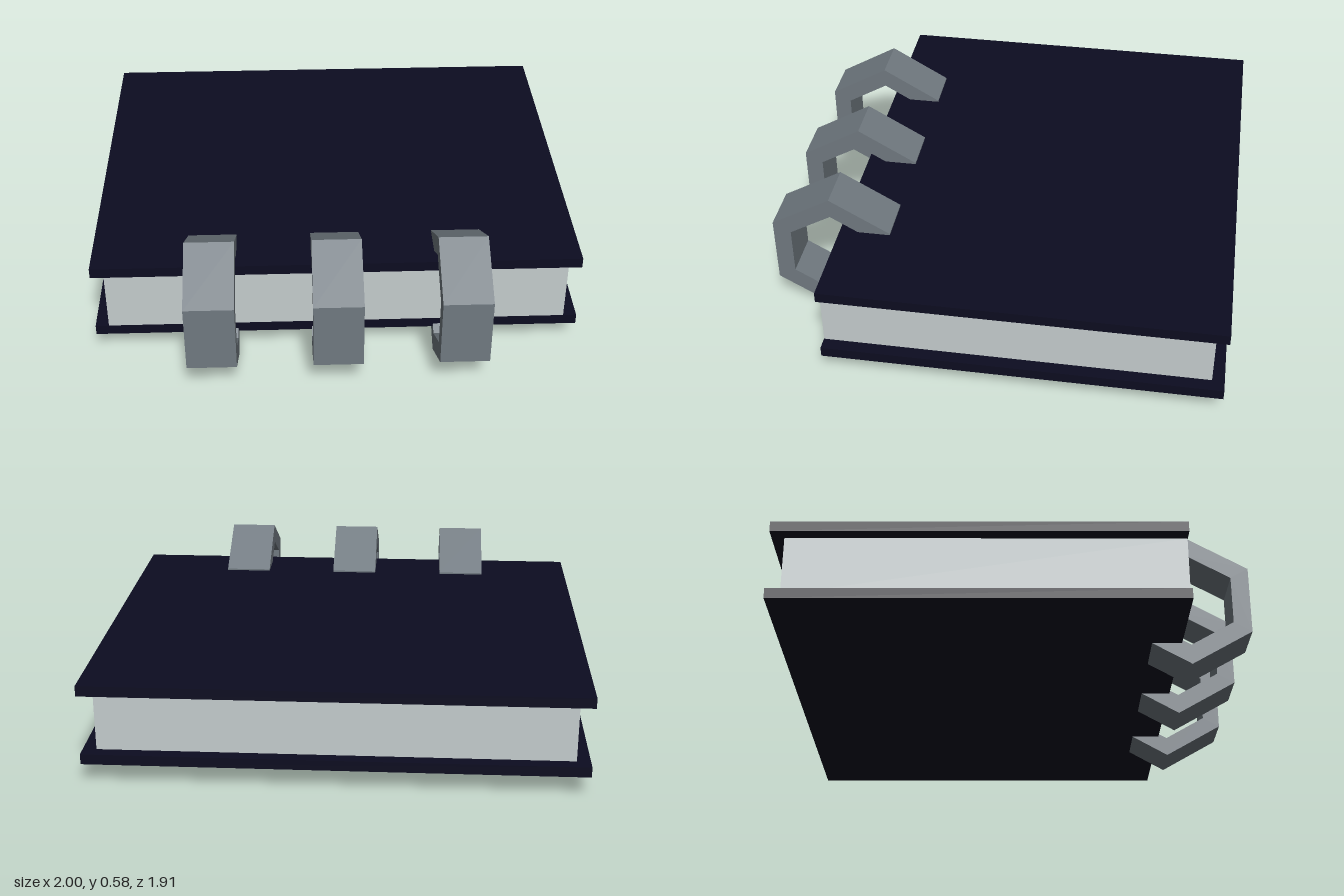
import * as THREE from 'three';

const material = (name, color) => {
  const m = new THREE.MeshStandardMaterial({ color });
  m.name = name;
  return m;
};

// Points of an upright hexagon with a vertex at the top
const hexagon = (radius) =>
  Array.from({ length: 6 }, (_, i) => {
    const a = Math.PI / 2 + (i * Math.PI) / 3;
    return new THREE.Vector2(Math.cos(a) * radius, Math.sin(a) * radius);
  });

export function createModel() {
  const group = new THREE.Group();
  group.name = 'ringBoundBook';

  const coverMat = material('dark navy cover', 0x0c0c20);
  const pageMat = material('pale grey paper', 0xc4cccd);
  const ringMat = material('grey metal', 0x707980);

  // Box given by its lower and upper corners
  const addBox = (name, mat, [x0, y0, z0], [x1, y1, z1]) => {
    const mesh = new THREE.Mesh(new THREE.BoxGeometry(x1 - x0, y1 - y0, z1 - z0), mat);
    mesh.position.set((x0 + x1) / 2, (y0 + y1) / 2, (z0 + z1) / 2);
    mesh.name = name;
    group.add(mesh);
  };

  // Covers and page block, flush along the bound front edge
  addBox('bottomCover', coverMat, [-1, 0.092, -0.957], [1, 0.135, 0.668]);
  addBox('topCover', coverMat, [-1, 0.384, -0.957], [1, 0.427, 0.668]);
  addBox('pages', pageMat, [-0.945, 0.135, -0.907], [0.945, 0.384, 0.667]);

  // Three hexagonal binding rings through the front edge
  const ringShape = new THREE.Shape(hexagon(0.289));
  ringShape.holes.push(new THREE.Path(hexagon(0.204).reverse()));
  const width = 0.2;
  const ringGeo = new THREE.ExtrudeGeometry(ringShape, { depth: width, bevelEnabled: false });
  ringGeo.translate(0, 0, -width / 2).rotateY(-Math.PI / 2);
  [-0.51, -0.005, 0.5].forEach((x, i) => {
    const ring = new THREE.Mesh(ringGeo, ringMat);
    ring.position.set(x, 0.289, 0.706);
    ring.name = `bindingRing${i + 1}`;
    group.add(ring);
  });

  return group;
}
